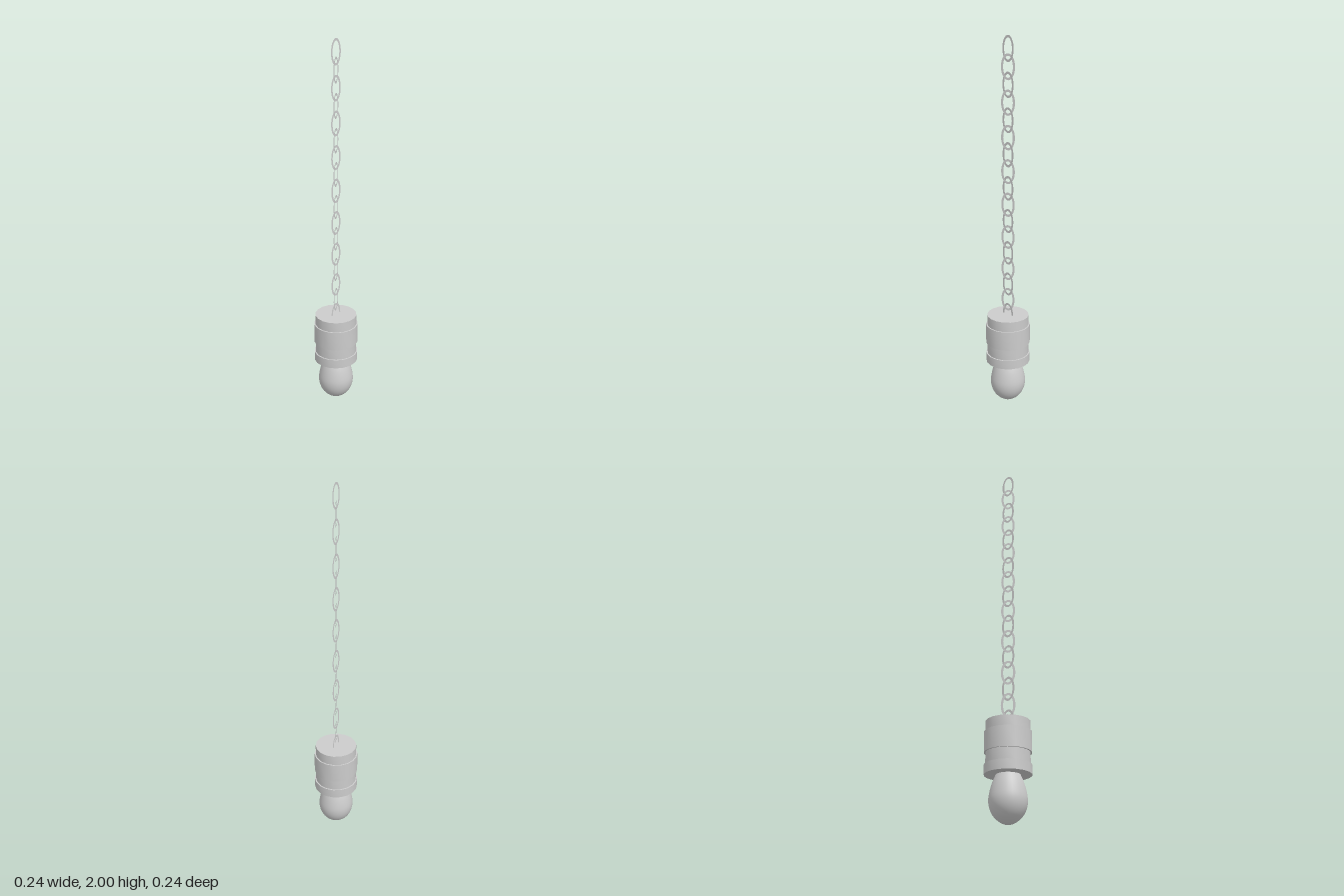
import * as THREE from 'three';
import { toCreasedNormals } from 'three/addons/utils/BufferGeometryUtils.js';

const grey = new THREE.MeshStandardMaterial({ color: 0xcccccc });
const thinGrey = new THREE.MeshStandardMaterial({ color: 0xcccccc, side: THREE.DoubleSide });

const points = (list) => list.map(([r, y]) => new THREE.Vector2(r, y));

// Flat oval ring, one chain link
function linkGeometry() {
  const shape = new THREE.Shape().absellipse(0, 0, 0.038, 0.066, 0, Math.PI * 2);
  shape.holes.push(new THREE.Path().absellipse(0, 0, 0.026, 0.054, 0, Math.PI * 2, true));
  return new THREE.ShapeGeometry(shape, 16);
}

function createChain() {
  const chain = new THREE.Group();
  chain.name = 'chain';
  const geometry = linkGeometry();
  for (let i = 0; i < 17; i++) {
    const link = new THREE.Mesh(geometry, thinGrey);
    link.name = 'chainLink';
    link.position.y = 1.934 - i * 0.0888;
    link.rotation.y = i % 2 ? 0.36 : 0; // every other link is twisted
    chain.add(link);
  }
  return chain;
}

// Eighteen-sided socket with two raised bands
function createSocket() {
  const inner = 0.113, outer = 0.12;
  const profile = points([
    [0, 0.241], [outer, 0.241], [outer, 0.291], [inner, 0.291],
    [inner, 0.352], [outer, 0.352], [outer, 0.459], [inner, 0.459],
    [inner, 0.514], [0, 0.514],
  ]);
  const lathe = new THREE.LatheGeometry(profile, 18, Math.PI / 2);
  const socket = new THREE.Mesh(toCreasedNormals(lathe, 0.6), grey);
  socket.name = 'socket';
  return socket;
}

// Egg-shaped bulb, its neck tucked into the socket
function createBulb() {
  const curve = new THREE.SplineCurve(points([
    [0, 0], [0.032, 0.008], [0.068, 0.036], [0.089, 0.073], [0.096, 0.114],
    [0.091, 0.155], [0.079, 0.2], [0.062, 0.241], [0.05, 0.265],
  ]));
  const bulb = new THREE.Mesh(new THREE.LatheGeometry(curve.getPoints(24), 32), grey);
  bulb.name = 'bulb';
  return bulb;
}

export function createModel() {
  const model = new THREE.Group();
  model.name = 'hangingBulb';
  model.add(createChain(), createSocket(), createBulb());
  return model;
}
